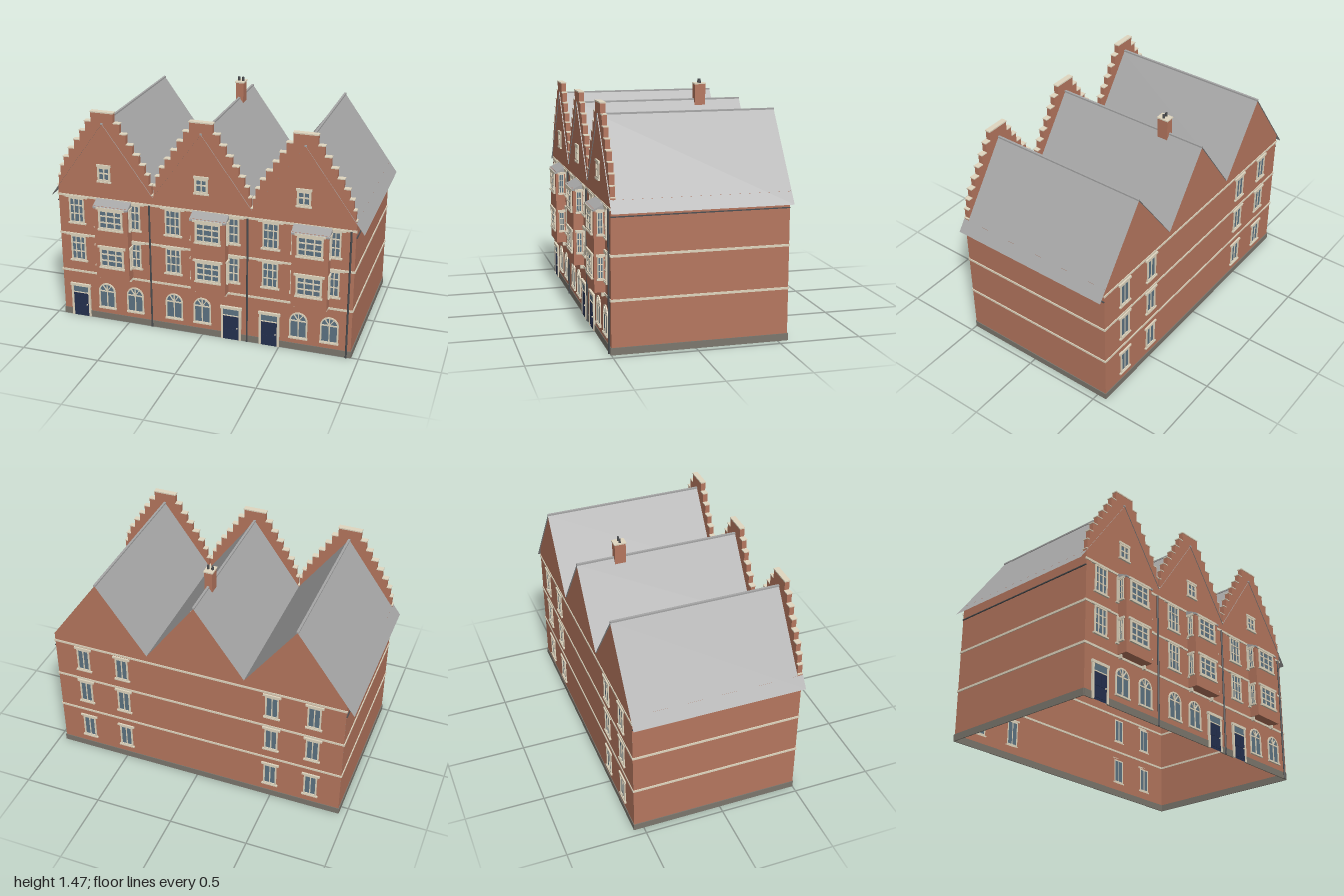
import * as THREE from 'three';

const mat = (name, color, double) => {
  const m = new THREE.MeshStandardMaterial({ color });
  m.name = name;
  if (double) m.side = THREE.DoubleSide;
  return m;
};

export function createModel() {
  const root = new THREE.Group();
  root.name = 'steppedGableTerrace';
  const brick = mat('brick', 0xb5765e, true);
  const cream = mat('creamStone', 0xe0d6bf);
  const slate = mat('roofGrey', 0xa6a6a6, true);
  const glass = mat('windowGlass', 0x5c7382, true);
  const navy = mat('doorNavy', 0x24304f, true);
  const stone = mat('plinthGrey', 0x7b766d);
  const iron = mat('pipeGrey', 0x4b4d50);

  const UNITS = [-0.633, 0, 0.633], HALF = 0.3167;
  const FRONT = 0.5, BACK = -0.56, SIDE = 0.95;
  const RIDGE = 1.335, VALLEY = 0.895, SLOPE = (RIDGE - VALLEY) / HALF;

  const add = (parent, name, geo, m) => {
    const mesh = new THREE.Mesh(geo, m);
    mesh.name = name;
    parent.add(mesh);
    return mesh;
  };
  // Box given by centre x, bottom y, centre z
  const box = (parent, name, m, x, y, z, w, h, d) => {
    const b = add(parent, name, new THREE.BoxGeometry(w, h, d), m);
    b.position.set(x, y + h / 2, z);
    return b;
  };
  const poly = pts => new THREE.Shape(pts.map(p => new THREE.Vector2(...p)));
  const rect = (x, y, w, h) => poly([[x - w / 2, y], [x + w / 2, y], [x + w / 2, y + h], [x - w / 2, y + h]]);
  const arch = (x, y, w, h) => {
    const r = w / 2, s = new THREE.Shape();
    s.moveTo(x - r, y);
    s.lineTo(x + r, y);
    s.lineTo(x + r, y + h - r);
    s.absarc(x, y + h - r, r, 0, Math.PI, false);
    s.lineTo(x - r, y);
    return s;
  };
  const place = (parent, name, x, y, z, turn = 0) => {
    const g = new THREE.Group();
    g.name = name;
    g.position.set(x, y, z);
    g.rotation.y = turn;
    parent.add(g);
    return g;
  };

  // Rectangular window with frame and glazing bars, facing local +z
  function sashWindow(parent, name, x, y, z, w, h, { cols = 2, rows = [0.65], lintel = 0.03, sill = 0.02, turn = 0, f = 0.01 } = {}) {
    const g = place(parent, name, x, y, z, turn);
    add(g, 'glass', new THREE.ShapeGeometry(rect(0, 0, w, h)), glass).position.z = 0.001;
    for (const s of [-1, 1]) box(g, 'jamb', cream, s * (w - f) / 2, 0, 0.004, f, h, 0.008);
    box(g, 'headRail', cream, 0, h - f, 0.004, w, f, 0.008);
    box(g, 'bottomRail', cream, 0, 0, 0.004, w, f, 0.008);
    for (let i = 1; i < cols; i++) box(g, 'mullion', cream, w * (i / cols - 0.5), 0, 0.003, f * 0.7, h, 0.006);
    for (const r of rows) box(g, 'transom', cream, 0, h * r, 0.003, w, f * 0.7, 0.006);
    if (lintel) box(g, 'lintel', cream, 0, h, 0.005, w + lintel, 0.014, 0.01);
    if (sill) box(g, 'sill', cream, 0, -0.008, 0.006, w + sill, 0.01, 0.012);
    return g;
  }

  function archedWindow(x, y, w, h) {
    const g = place(root, 'archedWindow', x, y, FRONT);
    add(g, 'glass', new THREE.ShapeGeometry(arch(0, 0, w, h), 16), glass).position.z = 0.001;
    const ring = arch(0, 0, w + 0.006, h + 0.003);
    ring.holes.push(arch(0, 0.006, w - 0.012, h - 0.012));
    add(g, 'archFrame', new THREE.ExtrudeGeometry(ring, { depth: 0.007, bevelEnabled: false, curveSegments: 12 }), cream);
    const spring = h - w / 2;
    box(g, 'transom', cream, 0, spring - 0.004, 0.003, w, 0.008, 0.006);
    box(g, 'mullion', cream, 0, 0, 0.003, 0.007, spring, 0.006);
    for (const a of [-0.6, 0, 0.6]) {
      const b = box(g, 'fanBar', cream, -Math.sin(a) * w / 4, spring + Math.cos(a) * w / 4 - w / 4, 0.003, 0.006, w / 2, 0.006);
      b.rotation.z = a;
    }
    box(g, 'sill', cream, 0, -0.008, 0.006, w + 0.012, 0.01, 0.012);
  }

  function door(x) {
    const g = place(root, 'frontDoor', x, 0, FRONT);
    add(g, 'doorLeaf', new THREE.ShapeGeometry(rect(0, 0, 0.104, 0.168)), navy).position.z = 0.008;
    add(g, 'fanlight', new THREE.ShapeGeometry(rect(0, 0.168, 0.104, 0.044)), glass).position.z = 0.008;
    for (const s of [-1, 1]) {
      box(g, 'doorJamb', cream, s * 0.058, 0, 0.006, 0.014, 0.225, 0.012);
      box(g, 'doorPanel', navy, s * 0.024, 0.085, 0.009, 0.032, 0.065, 0.003);
      box(g, 'doorPanel', navy, s * 0.024, 0.015, 0.009, 0.032, 0.055, 0.003);
    }
    box(g, 'transom', cream, 0, 0.165, 0.007, 0.104, 0.006, 0.01);
    box(g, 'doorHead', cream, 0, 0.212, 0.007, 0.14, 0.018, 0.014);
    box(g, 'doorKnob', cream, 0.04, 0.08, 0.012, 0.007, 0.007, 0.008);
  }

  // Front wall with openings
  const W = 0.1, H = 0.17, FLOORS = [0.4, 0.66];
  const frontWall = rect(0, 0, 2 * SIDE, 0.885);
  const columns = [[-0.197, -0.013, 0.181], [-0.187, 0, 0.19], [-0.197, -0.013, 0.181]];
  UNITS.forEach((cx, u) => columns[u].forEach((dx, c) => {
    const x = cx + dx;
    if (c === (u === 1 ? 2 : 0)) {
      frontWall.holes.push(rect(x, 0.002, 0.104, 0.21));
      door(x);
    } else {
      frontWall.holes.push(arch(x, 0.085, 0.108, 0.17));
      archedWindow(x, 0.085, 0.108, 0.17);
    }
    for (const y of FLOORS) {
      frontWall.holes.push(rect(x, y, W, H));
      sashWindow(root, 'frontWindow', x, y, FRONT, W, H, { cols: 3, rows: [0.35, 0.68], lintel: c === 1 ? 0 : 0.055, f: 0.009 });
    }
  }));
  add(root, 'frontWall', new THREE.ShapeGeometry(frontWall, 16), brick).position.z = FRONT;

  // Back wall rising into three plain gables
  const outline = [[-SIDE, 0], [SIDE, 0], [SIDE, VALLEY]];
  for (const cx of [...UNITS].reverse()) outline.push([cx, RIDGE - 0.004], [Math.max(cx - HALF, -SIDE), VALLEY]);
  const backWall = poly(outline);
  for (const x of [-0.76, -0.495, 0.495, 0.76]) for (const y of [0.1, 0.395, 0.655]) {
    backWall.holes.push(rect(x, y, 0.085, 0.16));
    sashWindow(root, 'backWindow', x, y, BACK, 0.085, 0.16, { rows: [], turn: Math.PI, f: 0.009 });
  }
  add(root, 'backWall', new THREE.ShapeGeometry(backWall), brick).position.z = BACK;

  // Side walls, plinth, string courses and gutters
  const depth = FRONT - BACK, midZ = (FRONT + BACK) / 2;
  for (const s of [-1, 1]) {
    const wall = add(root, 'sideWall', new THREE.PlaneGeometry(depth, VALLEY), brick);
    wall.position.set(s * SIDE, VALLEY / 2, midZ);
    wall.rotation.y = s * Math.PI / 2;
    box(root, 'sidePlinth', stone, s * (SIDE + 0.002), 0, midZ, 0.006, 0.043, depth);
    for (const y of [0.312, 0.57]) box(root, 'sideBand', cream, s * (SIDE + 0.002), y, midZ, 0.006, 0.014, depth);
    box(root, 'gutter', iron, s * (SIDE + 0.003), 0.797, midZ, 0.008, 0.006, depth);
  }
  for (const z of [FRONT + 0.001, BACK - 0.001]) {
    for (const y of [0.312, 0.572, 0.835]) box(root, 'stringCourse', cream, 0, y, z, 2 * SIDE + 0.01, 0.014, 0.007);
  }
  box(root, 'backPlinth', stone, 0, 0, BACK - 0.001, 2 * SIDE + 0.01, 0.043, 0.006);
  // Front plinth runs between the doors
  const doorX = [-0.83, 0.19, 0.436], stops = [-SIDE, ...doorX.flatMap(x => [x - 0.06, x + 0.06]), SIDE];
  for (let i = 0; i < stops.length; i += 2) {
    box(root, 'frontPlinth', stone, (stops[i] + stops[i + 1]) / 2, 0, FRONT + 0.001, stops[i + 1] - stops[i], 0.043, 0.006);
  }

  // Drainpipes
  for (const x of [-0.339, 0.293, 0.923]) {
    const pipe = add(root, 'drainpipe', new THREE.CylinderGeometry(0.006, 0.006, 0.84, 8), iron);
    pipe.position.set(x, 0.42, FRONT + 0.007);
  }

  // Thin pitched roofs with ridge caps
  const zf = 0.505, zb = -0.568;
  UNITS.forEach((cx, u) => {
    for (const s of [-1, 1]) {
      const reach = (u - 1) === s ? 1 - 0.633 : HALF;
      const drop = reach * SLOPE, len = Math.hypot(reach, drop);
      const geo = new THREE.PlaneGeometry(len, zf - zb);
      geo.rotateX(-Math.PI / 2);
      geo.rotateZ(-s * Math.atan2(drop, reach));
      add(root, 'roofSlope', geo, slate).position.set(cx + s * reach / 2, RIDGE - drop / 2, (zf + zb) / 2);
    }
    box(root, 'ridgeCap', slate, cx, RIDGE - 0.004, (zf + zb) / 2, 0.014, 0.01, zf - zb);
  });

  // Stepped gables with coping stones: half-width and height of each step
  const steps = [[0.316, 0.905], [0.31, 0.97], [0.294, 1.035], [0.268, 1.095], [0.232, 1.155], [0.192, 1.215], [0.152, 1.278], [0.112, 1.342], [0.073, 1.403]];
  for (const cx of UNITS) {
    const g = place(root, 'steppedGable', cx, 0, 0.47);
    const right = [[steps[0][0], 0.885]];
    steps.forEach(([w, y], i) => {
      right.push([w, y]);
      if (i < steps.length - 1) right.push([steps[i + 1][0], y]);
    });
    const left = right.map(([x, y]) => [-x, y]).reverse();
    add(g, 'gableWall', new THREE.ExtrudeGeometry(poly([...right, ...left]), { depth: 0.03, bevelEnabled: false }), brick);
    steps.forEach(([w, y], i) => {
      if (i === steps.length - 1) return box(g, 'topCoping', cream, 0, y, 0.015, 2 * w + 0.006, 0.008, 0.036);
      const inner = steps[i + 1][0];
      for (const s of [-1, 1]) box(g, 'stepCoping', cream, s * (w + inner + 0.004) / 2, y, 0.015, w - inner + 0.004, 0.006, 0.036);
    });
    sashWindow(root, 'atticWindow', cx, 0.963, FRONT, 0.085, 0.095, { rows: [0.5], lintel: 0.01, sill: 0.012, f: 0.012 });
  }

  // Projecting two-storey bays
  for (const cx of UNITS) {
    const g = place(root, 'bay', cx + 0.06, 0, FRONT);
    box(g, 'bayWalls', brick, 0, 0.33, 0.0325, 0.222, 0.49, 0.065);
    const profile = poly([[0, 0.815], [0.072, 0.805], [0.072, 0.816], [0, 0.848]]);
    const geo = new THREE.ExtrudeGeometry(profile, { depth: 0.232, bevelEnabled: false });
    geo.rotateY(-Math.PI / 2);
    geo.translate(0.116, 0, 0);
    add(g, 'bayRoof', geo, slate);
    for (const s of [-1, 1]) box(g, 'bracket', cream, s * 0.1, 0.305, 0.012, 0.012, 0.025, 0.022);
    for (const y of [0.41, 0.67]) {
      sashWindow(g, 'bayFrontWindow', 0, y, 0.065, 0.16, 0.132, { cols: 3, rows: [0.32, 0.64], lintel: 0.028, sill: 0.01, f: 0.012 });
      for (const s of [-1, 1]) {
        sashWindow(g, 'baySideWindow', s * 0.111, y, 0.029, 0.036, 0.132, { rows: [0.32, 0.64], lintel: 0.015, sill: 0.008, f: 0.006, turn: s * Math.PI / 2 });
      }
    }
  }

  // Chimney on the middle ridge
  const stack = place(root, 'chimney', 0, 0, -0.297);
  box(stack, 'chimneyStack', brick, 0, 1.26, 0, 0.05, 0.175, 0.07);
  box(stack, 'chimneyCap', cream, 0, 1.433, 0, 0.06, 0.008, 0.078);
  for (const s of [-1, 1]) {
    const pot = add(stack, 'chimneyPot', new THREE.CylinderGeometry(0.007, 0.008, 0.026, 10), iron);
    pot.position.set(s * 0.014, 1.453, 0);
  }
  return root;
}
